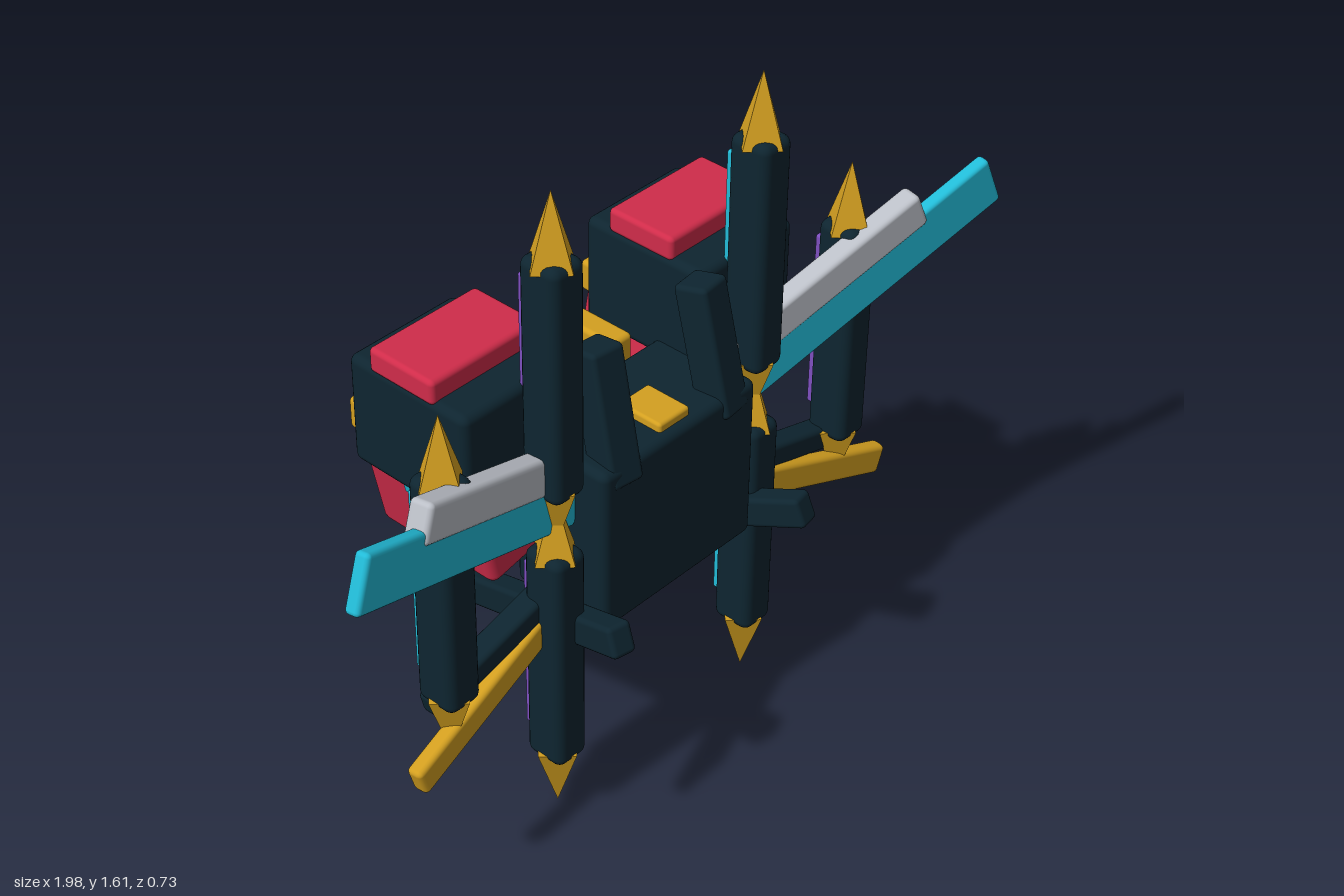
import * as THREE from 'three';
import { RoundedBoxGeometry } from 'three/addons/geometries/RoundedBoxGeometry.js';

const mat = (name, color) => {
  const m = new THREE.MeshStandardMaterial({ color });
  m.name = name;
  return m;
};

export function createModel() {
  const root = new THREE.Group();
  root.name = 'backpackRig';
  const dark = mat('dark navy', 0x0e2530);
  const gold = mat('gold', 0xd4a020);
  const cyan = mat('cyan', 0x22bcd8);
  const red = mat('red', 0xd02c4a);
  const grey = mat('light grey', 0xbcc0c8);
  const purple = mat('purple', 0x7e4fc0);

  const add = (parent, name, geo, m, x, y, z) => {
    const mesh = new THREE.Mesh(geo, m);
    mesh.name = name;
    mesh.position.set(x, y, z);
    parent.add(mesh);
    return mesh;
  };

  // Box with softened edges
  const box = (parent, name, m, [w, h, d], [x, y, z], r = 0.012) =>
    add(parent, name, new RoundedBoxGeometry(w, h, d, 2, Math.min(r, w * 0.3, h * 0.3, d * 0.3)), m, x, y, z);

  // Box stretched from point p to point q
  const beam = (parent, name, m, p, q, h, d) => {
    const a = new THREE.Vector3(...p), b = new THREE.Vector3(...q);
    const ex = b.clone().sub(a);
    const len = ex.length();
    ex.normalize();
    const ez = ex.clone().cross(new THREE.Vector3(0, 1, 0)).normalize();
    const ey = ez.clone().cross(ex);
    const mid = a.add(b).multiplyScalar(0.5);
    const mesh = box(parent, name, m, [len, h, d], mid.toArray());
    mesh.quaternion.setFromRotationMatrix(new THREE.Matrix4().makeBasis(ex, ey, ez));
    return mesh;
  };

  // Faceted cone
  const cone = (parent, name, m, r, h, sides, x, y, z) => {
    const g = new THREE.ConeGeometry(r, h, sides).toNonIndexed();
    g.computeVertexNormals();
    return add(parent, name, g, m, x, y, z);
  };

  // Rod with a spike at each end and a coloured strip on its back
  const pylon = (name, x, y, stripMat) => {
    const g = new THREE.Group();
    g.name = name;
    g.position.set(x, y, 0.157);
    box(g, 'rod', dark, [0.092, 0.58, 0.105], [0, 0, 0], 0.022);
    cone(g, 'topSpike', gold, 0.06, 0.17, 4, 0, 0.355, 0);
    cone(g, 'bottomSpike', gold, 0.06, 0.17, 4, 0, -0.355, 0).rotation.x = Math.PI;
    box(g, 'glowStrip', stripMat, [0.046, 0.46, 0.03], [0, 0, -0.058], 0.006);
    root.add(g);
  };

  // Main body
  box(root, 'body', dark, [0.48, 0.42, 0.265], [0, 0.7, 0.1], 0.02);
  box(root, 'topPlate', gold, [0.095, 0.03, 0.12], [0, 0.916, 0.15], 0.008);

  // Rear pack with badge
  box(root, 'rearPack', red, [0.42, 0.22, 0.26], [0, 0.68, -0.205], 0.02);
  box(root, 'badgePlate', gold, [0.22, 0.11, 0.03], [0, 0.675, -0.343], 0.008);
  add(root, 'badgeGem', new THREE.SphereGeometry(0.022, 12, 8), purple, 0, 0.675, -0.353);

  // Centre arm carrying the crystal
  box(root, 'centreArm', grey, [0.06, 0.06, 0.22], [0, 0.82, -0.12]);
  box(root, 'armLight', cyan, [0.07, 0.065, 0.025], [0, 0.81, -0.24], 0.006);
  cone(root, 'crystal', purple, 0.032, 0.16, 6, 0, 0.92, -0.2);

  for (const s of [1, -1]) {
    const side = s > 0 ? 'left' : 'right';
    const inner = s > 0 ? cyan : purple, outer = s > 0 ? purple : cyan;
    const at = (x, y, z) => [s * x, y, z];

    // Pylons
    pylon(side + 'UpperPylon', s * 0.312, 1.17, inner);
    pylon(side + 'LowerPylon', s * 0.312, 0.44, inner);
    pylon(side + 'OuterPylon', s * 0.628, 0.81, outer);

    // Wing blade with a grey upper bar
    beam(root, side + 'WingBlade', cyan, at(0.97, 1.112, 0.287), at(0.22, 0.8, 0.125), 0.13, 0.035);
    beam(root, side + 'WingBar', grey, at(0.767, 1.112, 0.238), at(0.25, 0.898, 0.124), 0.09, 0.055);

    // Lower fin, strut and leg
    beam(root, side + 'LowerFin', gold, at(0.757, 0.385, 0.185), at(0.27, 0.54, 0.13), 0.075, 0.04);
    beam(root, side + 'Strut', dark, at(0.66, 0.495, 0.13), at(0.22, 0.605, 0.12), 0.06, 0.06);
    beam(root, side + 'Leg', dark, at(0.3, 0.575, 0.34), at(0.2, 0.35, -0.22), 0.075, 0.06);
    beam(root, side + 'LegBrace', gold, at(0.22, 0.415, 0.12), at(0.12, 0.52, 0.12), 0.045, 0.04);

    // Raised post leaning back
    beam(root, side + 'Post', dark, at(0.168, 0.85, 0.2), at(0.16, 1.16, 0.13), 0.085, 0.085);

    // Shoulder box with lid and studs
    box(root, side + 'Shoulder', dark, [0.305, 0.27, 0.34], at(0.353, 1.0, -0.07), 0.02);
    box(root, side + 'ShoulderLid', red, [0.305, 0.06, 0.185], at(0.355, 1.155, -0.08));
    for (const dx of [-0.075, 0.075]) {
      for (const y of [0.94, 1.005, 1.07]) {
        cone(root, side + 'Stud', gold, 0.022, 0.06, 6, s * (0.353 + dx), y, -0.265).rotation.x = -Math.PI / 2;
      }
    }

    // Tilted side pack with cap and light
    const pack = new THREE.Group();
    pack.name = side + 'SidePack';
    pack.position.set(s * 0.325, 0.755, -0.127);
    pack.rotation.z = -s * 0.21;
    box(pack, 'packBody', red, [0.175, 0.28, 0.345], [0, 0, 0], 0.02);
    box(pack, 'packLight', cyan, [0.02, 0.05, 0.06], at(0.088, 0.06, -0.015), 0.006);
    root.add(pack);
    box(root, side + 'PackCap', gold, [0.19, 0.08, 0.075], at(0.355, 0.92, -0.274));

    // Brackets and link between the packs
    box(root, side + 'UpperBracket', gold, [0.065, 0.13, 0.18], at(0.147, 0.85, -0.165));
    box(root, side + 'LowerBracket', gold, [0.06, 0.045, 0.16], at(0.19, 0.56, -0.255)).rotation.x = -0.35;
    box(root, side + 'Link', grey, [0.05, 0.05, 0.14], at(0.175, 0.8, -0.07));
  }
  return root;
}
